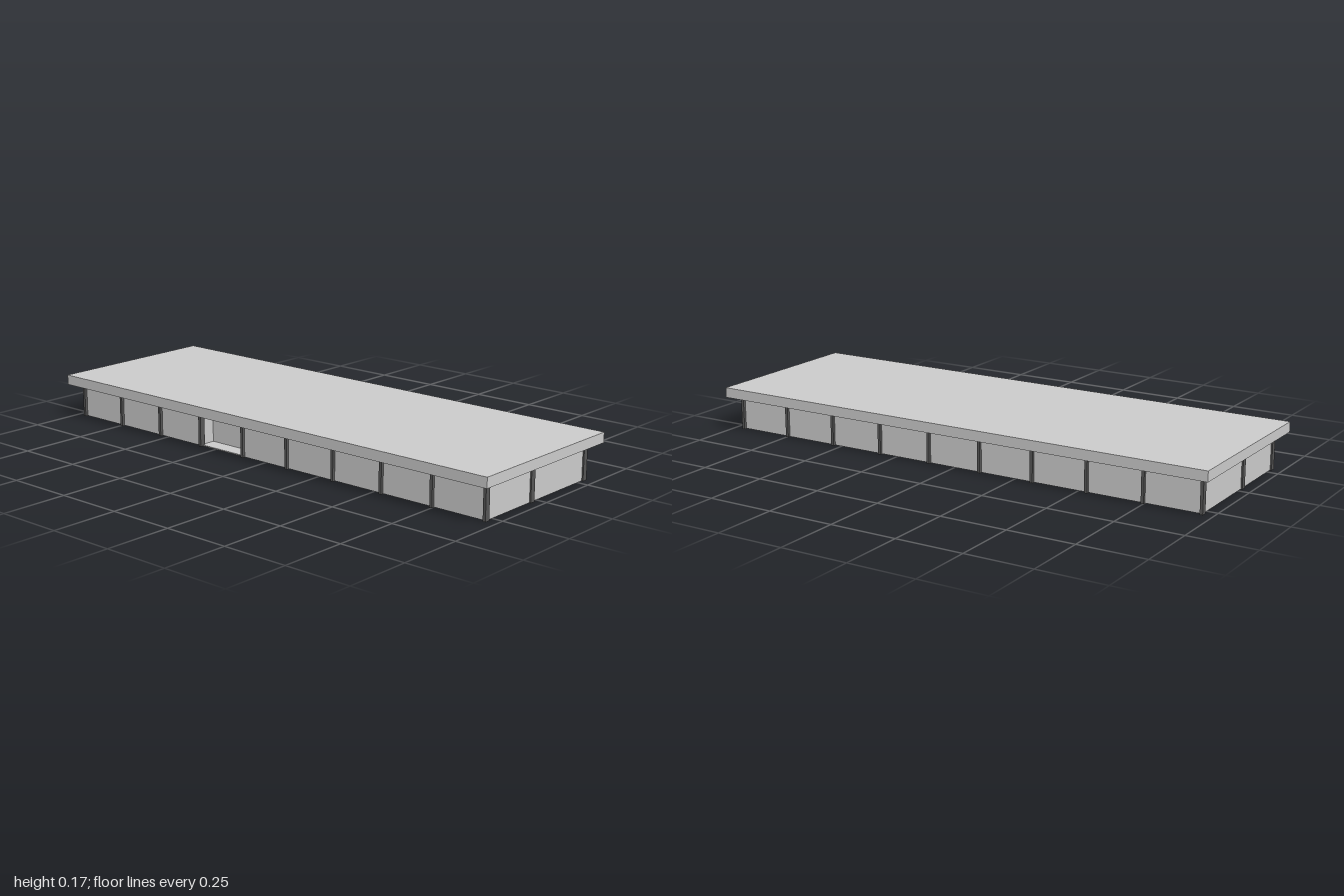
import * as THREE from 'three';

const WALL_X = 0.96, WALL_Z = 0.285, WALL_H = 0.13;
const ROOF_H = 0.038, BAYS = 9, BAY = (2 * WALL_X) / BAYS;

export function createModel() {
  const model = new THREE.Group();
  const grey = new THREE.MeshStandardMaterial({ color: 0xcccccc });
  const dark = new THREE.MeshStandardMaterial({ color: 0x555555 });

  const box = (name, w, h, d, x, y, z, material = grey) => {
    const mesh = new THREE.Mesh(new THREE.BoxGeometry(w, h, d), material);
    mesh.name = name;
    mesh.position.set(x, y + h / 2, z);
    model.add(mesh);
    return mesh;
  };

  // Walls: floor plan with an entrance recess in the fourth front bay
  const doorLeft = -WALL_X + 3 * BAY, doorRight = doorLeft + BAY, doorBack = WALL_Z - 0.06;
  const plan = new THREE.Shape([
    [-WALL_X, -WALL_Z], [WALL_X, -WALL_Z], [WALL_X, WALL_Z],
    [doorRight, WALL_Z], [doorRight, doorBack], [doorLeft, doorBack], [doorLeft, WALL_Z],
    [-WALL_X, WALL_Z],
  ].map(([x, z]) => new THREE.Vector2(x, z)));
  const wallGeometry = new THREE.ExtrudeGeometry(plan, { depth: WALL_H - 0.001, bevelEnabled: false });
  wallGeometry.rotateX(Math.PI / 2).translate(0, WALL_H, 0);
  const walls = new THREE.Mesh(wallGeometry, grey);
  walls.name = 'walls';
  model.add(walls);

  // Floor of the entrance recess
  box('entranceFloor', BAY, 0.004, 0.06, doorLeft + BAY / 2, 0.001, WALL_Z - 0.03);

  // Flat overhanging roof
  box('roof', 2, ROOF_H, 0.682, 0, WALL_H, 0);

  // Columns along the front and back
  for (let i = 0; i <= BAYS; i++) {
    const x = -WALL_X + i * BAY;
    box('frontColumn', 0.011, WALL_H, 0.021, x, 0, WALL_Z, dark);
    box('backColumn', 0.011, WALL_H, 0.021, x, 0, -WALL_Z, dark);
  }

  // One column on each end wall
  for (const side of [-1, 1]) {
    box('endColumn', 0.011, WALL_H, 0.021, side * WALL_X, 0, 0.031, dark);
  }

  return model;
}
